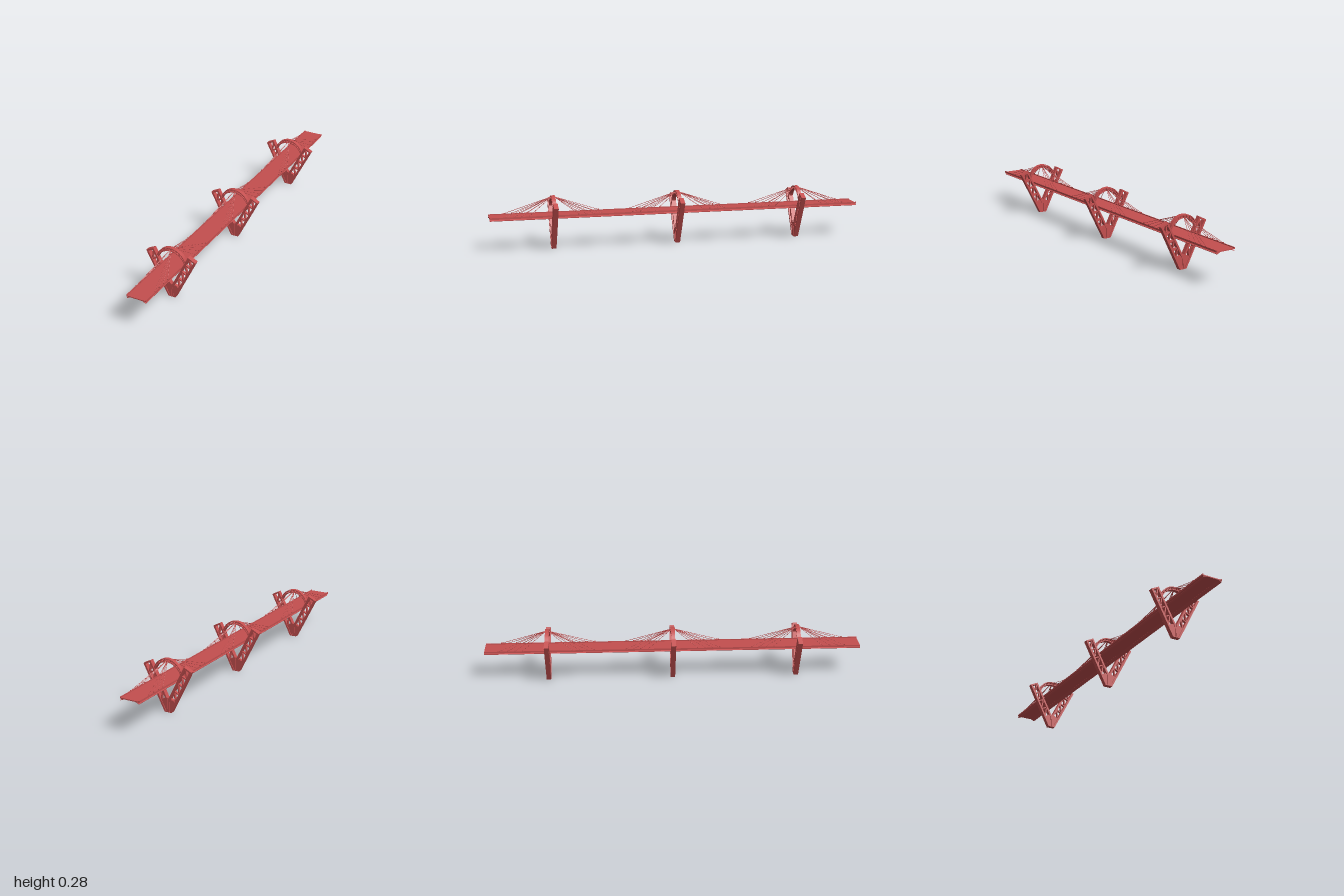
import * as THREE from 'three';

const red = new THREE.MeshStandardMaterial({ color: 0xc44f4f });

// Leg frame: s runs up the leg, t runs inward from its outer edge
const DX = 0.453, DY = 0.891, WIDTH = 0.047, LEN = 0.263;
const legPoint = (s, t) => new THREE.Vector2(0.02 + DX * s - DY * t, DY * s + DX * t);

function add(parent, geometry, name) {
  const mesh = new THREE.Mesh(geometry, red);
  mesh.name = name;
  parent.add(mesh);
  return mesh;
}

// Flat polygon extruded symmetrically about z = 0
function plate(parent, points, depth, name) {
  const geo = new THREE.ExtrudeGeometry(new THREE.Shape(points), { depth, bevelEnabled: false });
  geo.translate(0, 0, -depth / 2);
  return add(parent, geo, name);
}

// Rectangular bar between two points in the xy plane
function bar(parent, a, b, width, depth, name) {
  const mesh = add(parent, new THREE.BoxGeometry(a.distanceTo(b), width, depth), name);
  mesh.position.set((a.x + b.x) / 2, (a.y + b.y) / 2, 0);
  mesh.rotation.z = Math.atan2(b.y - a.y, b.x - a.x);
}

// Thin round rod between two points in space
function rod(parent, a, b, radius, name) {
  const mesh = add(parent, new THREE.CylinderGeometry(radius, radius, a.distanceTo(b), 6), name);
  mesh.position.copy(a).lerp(b, 0.5);
  mesh.quaternion.setFromUnitVectors(new THREE.Vector3(0, 1, 0), b.clone().sub(a).normalize());
}

function createLeg() {
  const leg = new THREE.Group();
  const rail = 0.010, base = 0.06, depth = 0.024;
  const v = (x, y) => new THREE.Vector2(x, y);
  // chords and top cap
  plate(leg, [v(0.009, 0), v(0.02, 0), legPoint(LEN, 0), legPoint(LEN, rail)], depth, 'outerChord');
  plate(leg, [legPoint(0.045, WIDTH - rail), legPoint(LEN, WIDTH - rail),
    legPoint(LEN, WIDTH), legPoint(0.049, WIDTH)], depth, 'innerChord');
  plate(leg, [legPoint(LEN - 0.008, rail), legPoint(LEN, rail),
    legPoint(LEN, WIDTH - rail), legPoint(LEN - 0.008, WIDTH - rail)], depth, 'topCap');
  // solid foot
  plate(leg, [v(0, 0), v(0.018, 0), legPoint(base, 0.003), legPoint(base, WIDTH - 0.003), v(0, 0.07)], 0.017, 'footPlate');
  plate(leg, [v(0.001, 0), v(0.007, 0), v(0.007, 0.075), v(0.001, 0.075)], depth, 'footRib');
  plate(leg, [v(0, 0), v(0.02, 0), v(0.02, 0.004), v(0, 0.004)], depth, 'footSole');
  // lattice: cross struts and diagonals
  const panels = 4, step = (LEN - 0.006 - base) / panels;
  for (let i = 0; i < panels; i++) {
    const s0 = base + i * step, s1 = s0 + step;
    bar(leg, legPoint(s0, 0.005), legPoint(s0, WIDTH - 0.005), 0.006, 0.014, 'crossStrut');
    bar(leg, legPoint(s0 + 0.003, 0.008), legPoint(s1 - 0.003, WIDTH - 0.008), 0.006, 0.014, 'diagonalStrut');
  }
  return leg;
}

// Curved chord of the arch, with a rectangular section
function archChord(parent, cy, radius, half, thick, depth, name) {
  const shape = new THREE.Shape();
  shape.absarc(0, cy, radius, Math.PI / 2 - half, Math.PI / 2 + half, false);
  shape.absarc(0, cy, radius - thick, Math.PI / 2 + half, Math.PI / 2 - half, true);
  const geo = new THREE.ExtrudeGeometry(shape, { depth, bevelEnabled: false, curveSegments: 28 });
  geo.translate(0, 0, -depth / 2);
  add(parent, geo, name);
}

function createArch() {
  const arch = new THREE.Group();
  arch.name = 'arch';
  const outer = { c: 0.197, r: 0.083, half: 1.3 }, inner = { c: 0.185, r: 0.081, half: 1.2 };
  archChord(arch, outer.c, outer.r, outer.half, 0.004, 0.02, 'archOuterChord');
  archChord(arch, inner.c, inner.r, inner.half, 0.004, 0.02, 'archInnerChord');
  // zigzag web between the two chords
  const point = (o, k) => new THREE.Vector2((o.r - 0.002) * Math.sin(k * o.half), o.c + (o.r - 0.002) * Math.cos(k * o.half));
  const count = 20;
  for (let i = 0; i < count; i++) {
    const k0 = -1 + 2 * i / count, k1 = -1 + 2 * (i + 1) / count;
    bar(arch, point(i % 2 ? inner : outer, k0), point(i % 2 ? outer : inner, k1), 0.003, 0.012, 'archWeb');
  }
  // cable saddle under the crown
  const saddle = add(arch, new THREE.BoxGeometry(0.008, 0.016, 0.022), 'cableSaddle');
  saddle.position.y = 0.271;
  return arch;
}

function createPylon() {
  const pylon = new THREE.Group();
  pylon.name = 'pylon';
  for (const side of [1, -1]) {
    const leg = createLeg();
    leg.name = side > 0 ? 'leftLeg' : 'rightLeg';
    leg.scale.x = side;
    pylon.add(leg);
    // bracket carrying the deck edge
    bar(pylon, new THREE.Vector2(side * 0.045, 0.177), new THREE.Vector2(side * 0.063, 0.177), 0.006, 0.016, 'deckBracket');
    // stay cables fanning fore and aft, each with its deck anchor
    for (const dir of [1, -1]) {
      for (const reach of [0.13, 0.17, 0.21, 0.25]) {
        const z = dir * reach;
        rod(pylon, new THREE.Vector3(side * 0.001, 0.274, dir * 0.006),
          new THREE.Vector3(side * 0.052, 0.186, z), 0.0012, 'stayCable');
        const anchor = add(pylon, new THREE.BoxGeometry(0.004, 0.012, 0.005), 'cableAnchor');
        anchor.position.set(side * 0.053, 0.183, z);
      }
    }
  }
  pylon.add(createArch());
  return pylon;
}

function createDeck() {
  const deck = new THREE.Group();
  deck.name = 'deck';
  const slab = add(deck, new THREE.BoxGeometry(0.11, 0.005, 2), 'roadway');
  slab.position.y = 0.1775;
  for (const side of [1, -1]) {
    const curb = add(deck, new THREE.BoxGeometry(0.004, 0.005, 2), 'curb');
    curb.position.set(side * 0.053, 0.182, 0);
    // sloping skirt below the edge
    const a = new THREE.Vector2(side * 0.034, 0.1755), b = new THREE.Vector2(side * 0.053, 0.167);
    bar(deck, a, b, 0.0025, 2, 'skirt');
  }
  return deck;
}

export function createModel() {
  const bridge = new THREE.Group();
  bridge.name = 'bridge';
  bridge.add(createDeck());
  for (const z of [-0.667, 0, 0.667]) {
    const pylon = createPylon();
    pylon.position.z = z;
    bridge.add(pylon);
  }
  return bridge;
}
